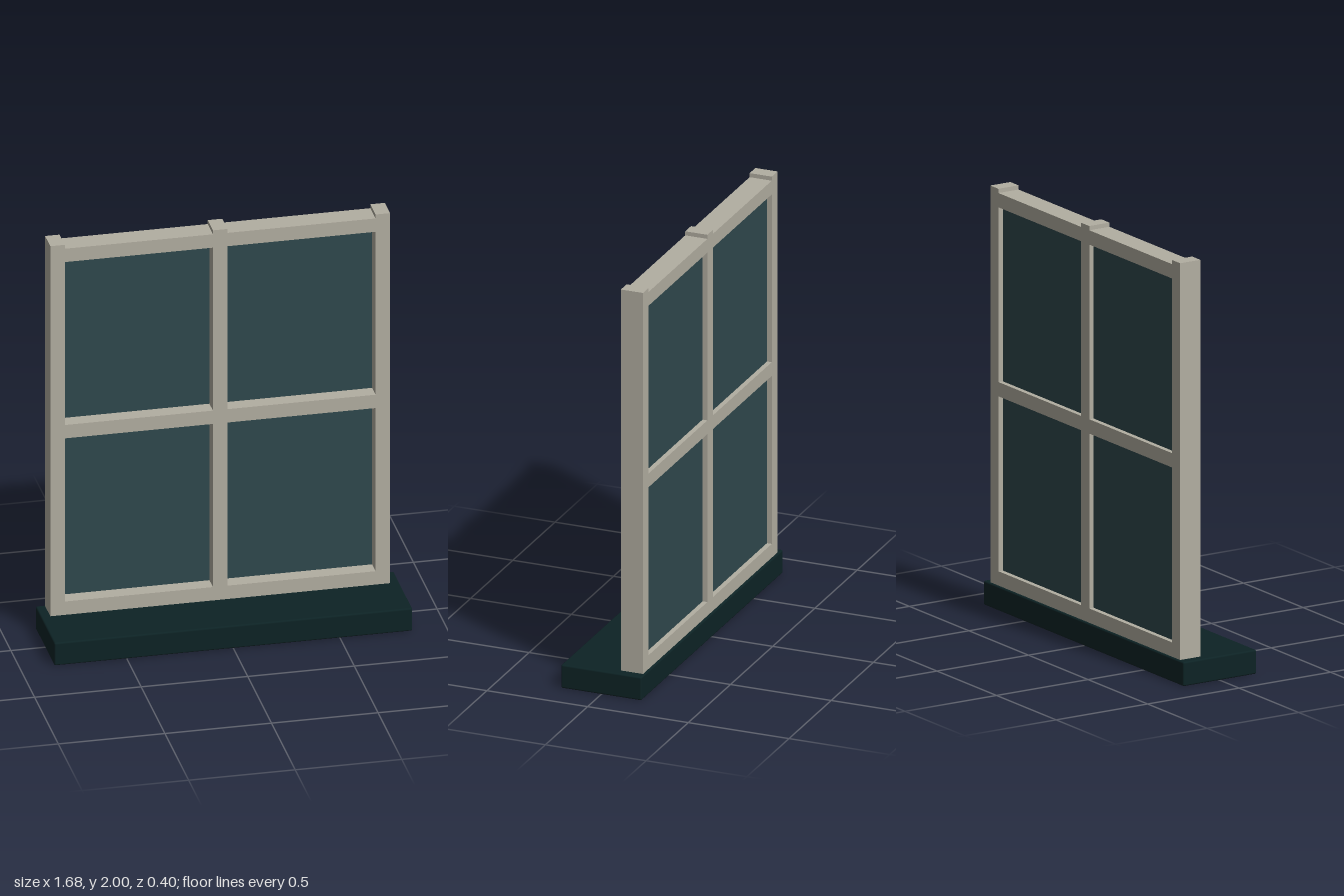
import * as THREE from 'three';
import { RoundedBoxGeometry } from 'three/addons/geometries/RoundedBoxGeometry.js';

export function createModel() {
  const model = new THREE.Group();
  model.name = 'window';

  const frameMat = new THREE.MeshStandardMaterial({ color: 0xb2aea1 });
  frameMat.name = 'frame paint';
  const glassMat = new THREE.MeshStandardMaterial({ color: 0x2f484d });
  glassMat.name = 'dark glass';
  const sillMat = new THREE.MeshStandardMaterial({ color: 0x0d2325 });
  sillMat.name = 'sill paint';

  const add = (name, geometry, material, x, y, z) => {
    const mesh = new THREE.Mesh(geometry, material);
    mesh.name = name;
    mesh.position.set(x, y, z);
    model.add(mesh);
  };

  const sillTop = 0.115, top = 2;
  const bar = 0.068, depth = 0.11, frameZ = -0.135;
  const halfWidth = 0.797;

  // Sill with slightly softened edges
  add('sill', new RoundedBoxGeometry(1.68, sillTop, 0.4, 2, 0.008), sillMat, 0, sillTop / 2, 0);

  // Upright posts, standing a little above the top rail
  const postX = halfWidth - bar / 2;
  const posts = { rightPost: -postX, centrePost: 0, leftPost: postX };
  for (const [name, x] of Object.entries(posts)) {
    add(name, new THREE.BoxGeometry(bar, top - sillTop, depth), frameMat, x, (top + sillTop) / 2, frameZ);
  }

  // Rails fitted between the posts
  const gap = postX - bar;
  const rails = { bottomRail: sillTop + bar / 2, middleRail: 1.048, topRail: 1.946 };
  for (const side of [-1, 1]) {
    for (const [name, y] of Object.entries(rails)) {
      add(name, new THREE.BoxGeometry(gap, bar, depth), frameMat, side * postX / 2, y, frameZ);
    }
  }

  // Four panes set towards the back of the frame
  const levels = Object.values(rails);
  for (const side of [-1, 1]) {
    for (let i = 0; i < 2; i++) {
      const height = levels[i + 1] - levels[i] - bar;
      add('pane', new THREE.BoxGeometry(gap, height, 0.012), glassMat,
        side * postX / 2, (levels[i] + levels[i + 1]) / 2, -0.16);
    }
  }

  return model;
}
